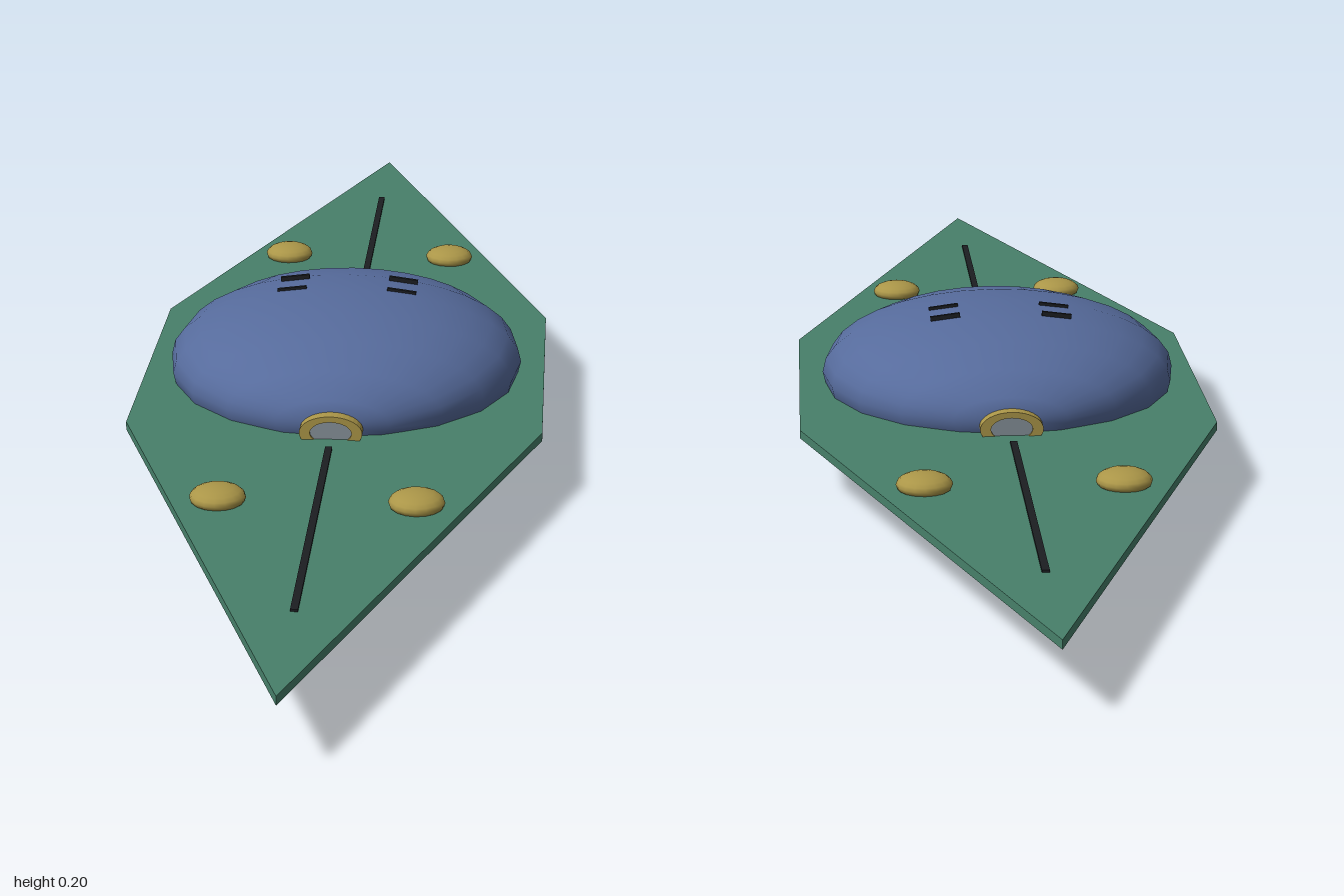
import * as THREE from 'three';

const mat = (name, color) => {
  const m = new THREE.MeshStandardMaterial({ color });
  m.name = name;
  return m;
};

export function createModel() {
  const blue = mat('hull blue', 0x566b9c);
  const green = mat('wing green', 0x47806a);
  const gold = mat('brass', 0xab9648);
  const grey = mat('window grey', 0x87929a);
  const dark = mat('dark trim', 0x1c1e22);
  const group = new THREE.Group();
  group.name = 'glider';

  const add = (name, geometry, material, x = 0, y = 0, z = 0, parent = group) => {
    const mesh = new THREE.Mesh(geometry, material);
    mesh.name = name;
    mesh.position.set(x, y, z);
    parent.add(mesh);
    return mesh;
  };

  // Flattened cabin, with the poles facing fore and aft
  const hull = new THREE.SphereGeometry(1, 32, 10);
  hull.rotateX(Math.PI / 2).scale(0.24, 0.097, 0.26);
  add('hull', hull, blue, 0, 0.103, 0);

  // Long diamond wing plate
  const outline = new THREE.Shape([
    [0, -1], [0.272, -0.225], [0.272, 0.225], [0, 1], [-0.272, 0.225], [-0.272, -0.225],
  ].map(([x, z]) => new THREE.Vector2(x, z)));
  const plate = new THREE.ExtrudeGeometry(outline, { depth: 0.011, bevelEnabled: false });
  plate.rotateX(-Math.PI / 2);
  add('wingPlate', plate, green, 0, 0.077, 0);

  const dome = new THREE.SphereGeometry(1, 16, 10);
  dome.scale(0.035, 0.015, 0.035);

  for (const end of [1, -1]) {
    // Spine line along each half of the wing
    add('spine', new THREE.BoxGeometry(0.009, 0.006, 0.49), dark, 0, 0.088, end * 0.545);

    // Brass lamps on the wing
    for (const side of [1, -1]) add('lamp', dome, gold, side * 0.122, 0.094, end * 0.48);

    // Oval porthole: brass rim around a grey pane
    const porthole = new THREE.Group();
    porthole.name = 'porthole';
    porthole.position.set(0, 0.097, end * 0.258);
    porthole.scale.set(1, 0.56, 1);
    if (end < 0) porthole.rotation.y = Math.PI;
    group.add(porthole);
    const rim = new THREE.Shape().absarc(0, 0, 0.041, 0, Math.PI * 2);
    rim.holes.push(new THREE.Path().absarc(0, 0, 0.027, 0, Math.PI * 2, true));
    add('rim', new THREE.ExtrudeGeometry(rim, { depth: 0.02, bevelEnabled: false, curveSegments: 16 }),
      gold, 0, 0, -0.008, porthole);
    const pane = new THREE.CylinderGeometry(0.028, 0.028, 0.018, 24).rotateX(Math.PI / 2);
    add('pane', pane, grey, 0, 0, 0, porthole);
  }

  for (const side of [1, -1]) {
    // Thin hatch marks on the roof
    const hatch = new THREE.Group();
    hatch.name = 'roofHatch';
    hatch.position.set(side * 0.075, 0.1945, -0.04);
    hatch.rotation.z = -side * 0.13;
    group.add(hatch);
    for (const z of [-0.025, 0.025]) {
      add('hatchBar', new THREE.BoxGeometry(0.04, 0.006, 0.005), dark, 0, 0, z, hatch);
    }

    // Slatted grille under the cabin
    const grille = new THREE.Group();
    grille.name = 'bellyGrille';
    grille.position.set(side * 0.077, 0.01, 0);
    grille.rotation.z = side * 0.134;
    group.add(grille);
    add('grilleBase', new THREE.BoxGeometry(0.054, 0.01, 0.066), grey, 0, 0, 0, grille);
    for (let i = 0; i < 5; i++) {
      add('slat', new THREE.BoxGeometry(0.052, 0.004, 0.0095), dark, 0, -0.0045, (i - 2) * 0.0132, grille);
    }
  }
  return group;
}
